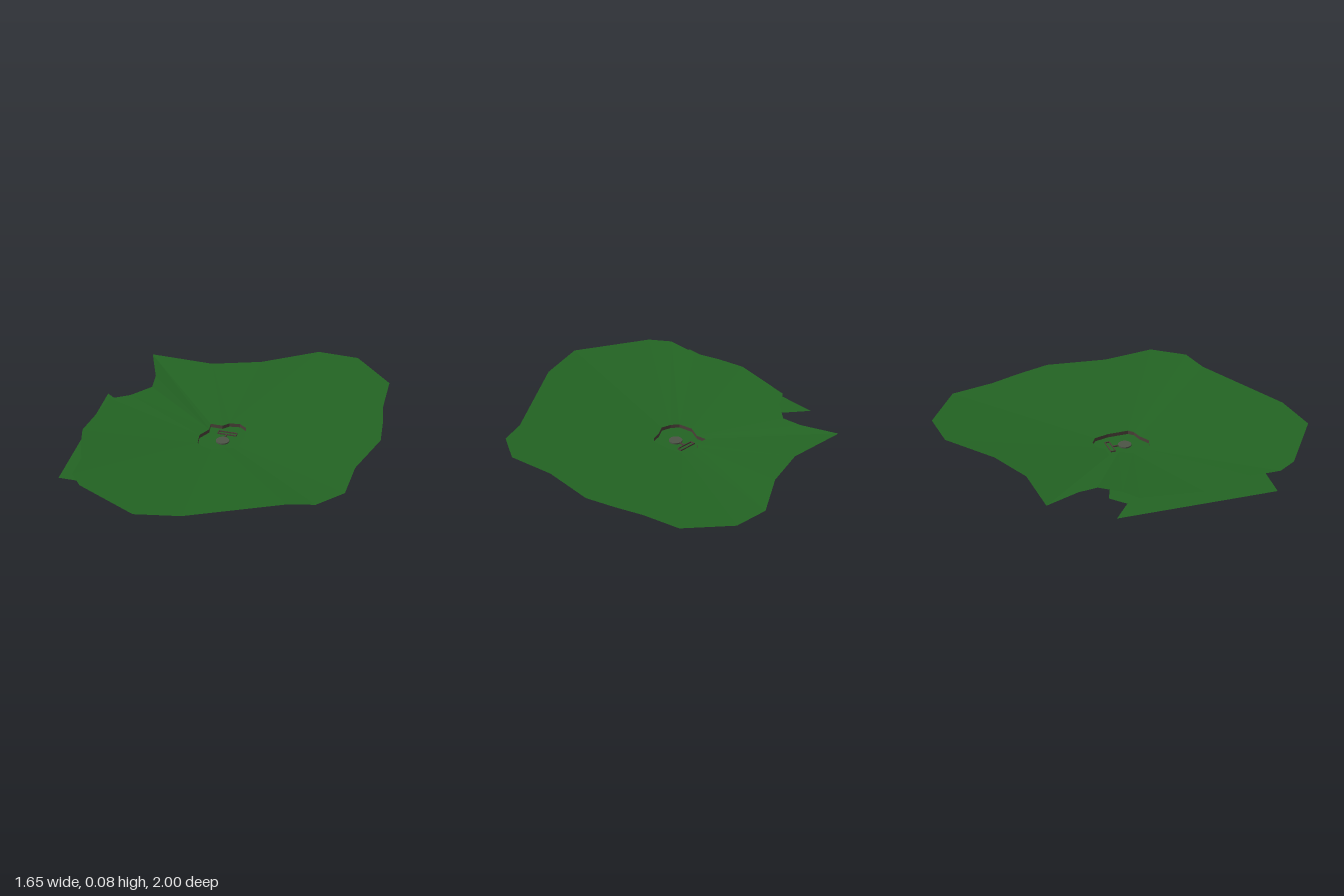
import * as THREE from 'three';

const grass = new THREE.MeshStandardMaterial({ color: 0x236423, side: THREE.DoubleSide });
grass.name = 'grass green';
const soil = new THREE.MeshStandardMaterial({ color: 0x4a4038, side: THREE.DoubleSide });
soil.name = 'soil brown';
const stone = new THREE.MeshStandardMaterial({ color: 0x4c5446 });
stone.name = 'stone grey';

const CX = -0.06, CZ = -0.03;            // middle of the hollow
const RIM_Y = 0.025, EDGE_Y = 0.075, FLOOR_Y = 0.004;

// Outlines as [x, z], all running the same way round
const outer = [
  [-0.68, -0.7], [-0.33, -0.7], [-0.07, -0.8], [0.21, -1], [0.44, -1], [0.69, -0.79],
  [0.73, -0.54], [0.78, -0.37], [0.825, -0.18], [0.775, 0.15], [0.8, 0.43], [0.68, 0.6],
  [0.52, 0.645], [-0.01, 0.94], [-0.28, 1], [-0.66, 0.785], [-0.735, 0.68], [-0.735, 0.5],
  [-0.785, 0.35], [-0.82, 0.2], [-0.77, -0.17], [-0.67, -0.24], [-0.58, -0.36], [-0.595, -0.48],
];
const inner = [
  [-0.17, -0.15], [-0.1, -0.15], [-0.07, -0.185], [-0.01, -0.195], [0.035, -0.165],
  [0.055, -0.08], [0.055, 0.04], [0.03, 0.065], [-0.025, 0.08], [-0.085, 0.115],
  [-0.14, 0.1], [-0.18, 0.07], [-0.195, -0.015], [-0.16, -0.09],
];
const floorOutline = [
  [-0.83, -0.33], [-0.69, -0.22], [-0.6, -0.3], [-0.33, -0.19], [-0.2, -0.26],
  [-0.06, -0.26], [0.03, -0.24], [0.2, -0.33], [0.2, 0.63], [-0.83, 0.63],
];

function surface(points, name, material) {
  const geometry = new THREE.BufferGeometry();
  geometry.setAttribute('position', new THREE.Float32BufferAttribute(points.flat(), 3));
  geometry.computeVertexNormals();
  const mesh = new THREE.Mesh(geometry, material);
  mesh.name = name;
  return mesh;
}

// Unwrapped angles of a loop around the hollow, with the first point repeated
function angles(loop) {
  const list = [];
  for (let i = 0; i <= loop.length; i++) {
    const [x, z] = loop[i % loop.length];
    let a = Math.atan2(z - CZ, x - CX);
    while (i > 0 && a < list[i - 1] - 1) a += Math.PI * 2;
    list.push(a);
  }
  return list;
}

// Ground sloping from the rim of the hollow up to the outer edge
function makeGround() {
  const inA = angles(inner), outA = angles(outer);
  const rim = (i) => { const p = inner[i % inner.length]; return [p[0], RIM_Y, p[1]]; };
  const edge = (i) => { const p = outer[i % outer.length]; return [p[0], EDGE_Y, p[1]]; };
  const points = [];
  let i = 0, o = 0;
  while (i < inner.length || o < outer.length) {
    const stepOuter = i === inner.length || (o < outer.length && outA[o + 1] <= inA[i + 1]);
    if (stepOuter) {
      points.push(rim(i), edge(o + 1), edge(o));
      o++;
    } else {
      points.push(rim(i), rim(i + 1), edge(o));
      i++;
    }
  }
  return surface(points, 'slopingGround', grass);
}

// Low upright bank round the hollow
function makeBank() {
  const points = [];
  inner.forEach(([x, z], i) => {
    const [u, w] = inner[(i + 1) % inner.length];
    points.push([x, 0, z], [x, RIM_Y, z], [u, RIM_Y, w], [x, 0, z], [u, RIM_Y, w], [u, 0, w]);
  });
  return surface(points, 'hollowBank', soil);
}

// Flat ground underneath, which forms the bottom of the hollow
function makeFloor() {
  const shape = new THREE.Shape(floorOutline.map(([x, z]) => new THREE.Vector2(x, -z)));
  const mesh = new THREE.Mesh(new THREE.ShapeGeometry(shape), grass);
  mesh.rotation.x = -Math.PI / 2;
  mesh.position.y = FLOOR_Y;
  mesh.name = 'lowerGround';
  return mesh;
}

// Small frame, post and round stone lying in the hollow
function makeDetails() {
  const group = new THREE.Group();
  group.name = 'hollowDetails';
  const bar = (name, w, d, x, z) => {
    const mesh = new THREE.Mesh(new THREE.BoxGeometry(w, 0.008, d), soil);
    mesh.position.set(x, FLOOR_Y + 0.004, z);
    mesh.name = name;
    group.add(mesh);
  };
  for (const z of [-0.118, -0.092]) bar('frameRail', 0.11, 0.004, -0.057, z);
  for (const x of [-0.11, -0.004]) bar('frameEnd', 0.004, 0.026, x, -0.105);
  bar('post', 0.008, 0.036, -0.058, -0.074);
  const disc = new THREE.Mesh(new THREE.CylinderGeometry(0.038, 0.038, 0.008, 20), stone);
  disc.position.set(-0.06, FLOOR_Y + 0.004, -0.02);
  disc.name = 'roundStone';
  group.add(disc);
  return group;
}

export function createModel() {
  const model = new THREE.Group();
  model.name = 'groundWithHollow';
  model.add(makeGround(), makeBank(), makeFloor(), makeDetails());
  return model;
}
